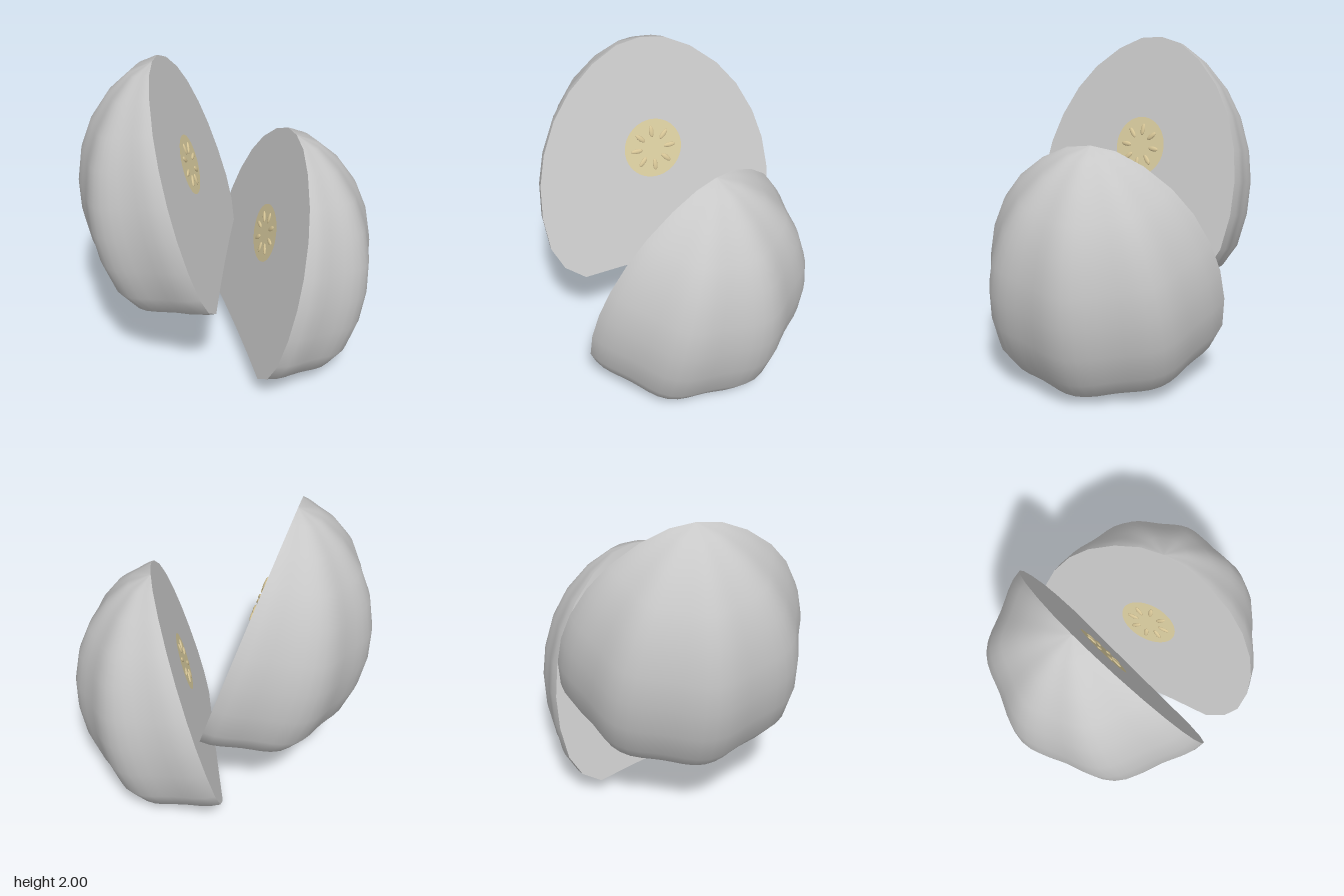
import * as THREE from 'three';

const flesh = new THREE.MeshStandardMaterial({ color: 0xc8c8c8 });
flesh.name = 'pale grey';
const core = new THREE.MeshStandardMaterial({ color: 0xd8cb9e });
core.name = 'cream core';
const seedTan = new THREE.MeshStandardMaterial({ color: 0xd6c596 });
seedTan.name = 'seed tan';

// Radius and height of the fruit along a rib, from the dimpled base to the tip
const PROFILE = [
  [0, 0], [0.28, -0.004], [0.534, -0.015], [0.655, 0.08], [0.722, 0.222], [0.742, 0.427],
  [0.725, 0.63], [0.676, 0.814], [0.585, 1.006], [0.468, 1.16], [0.308, 1.295], [0.148, 1.378], [0, 1.4],
].map(([r, y]) => new THREE.Vector2(r, y));

const CORE_HEIGHT = 0.715;
const RIBS = 8;
const RIB_DEPTH = 0.028;

function mesh(name, geometry, material) {
  const m = new THREE.Mesh(geometry, material);
  m.name = name;
  return m;
}

// Half lathe whose radius swells at each rib
function skinGeometry() {
  const g = new THREE.LatheGeometry(PROFILE, 32, 0, Math.PI);
  const p = g.attributes.position;
  for (let i = 0; i < p.count; i++) {
    const angle = Math.atan2(p.getX(i), p.getZ(i));
    const k = 1 - RIB_DEPTH * (1 - Math.cos(RIBS * angle));
    p.setX(i, p.getX(i) * k);
    p.setZ(i, p.getZ(i) * k);
  }
  g.computeVertexNormals();
  return g;
}

// One half: skin towards +x, cut face towards -x
function makeHalf() {
  const half = new THREE.Group();
  half.add(mesh('skin', skinGeometry(), flesh));

  // Flat cut through the middle
  const outline = [...PROFILE];
  for (let i = PROFILE.length - 2; i > 0; i--) {
    outline.push(new THREE.Vector2(-PROFILE[i].x, PROFILE[i].y));
  }
  const cut = new THREE.ShapeGeometry(new THREE.Shape(outline));
  cut.rotateY(-Math.PI / 2);
  half.add(mesh('cutFace', cut, flesh));

  // Round core with a ring of seeds
  const disc = new THREE.CircleGeometry(0.182, 40);
  disc.rotateY(-Math.PI / 2);
  const heart = mesh('core', disc, core);
  heart.position.set(-0.004, CORE_HEIGHT, 0);
  half.add(heart);

  const seeds = new THREE.Group();
  seeds.name = 'seeds';
  seeds.position.set(-0.006, CORE_HEIGHT, 0);
  const seedShape = new THREE.SphereGeometry(1, 12, 8);
  seedShape.scale(0.009, 0.037, 0.015);
  for (let i = 0; i < 8; i++) {
    const a = (i / 8) * Math.PI * 2;
    const seed = mesh('seed', seedShape, seedTan);
    seed.position.set(0, Math.cos(a) * 0.105, Math.sin(a) * 0.105);
    seed.rotation.x = a;
    seeds.add(seed);
  }
  half.add(seeds);
  return half;
}

export function createModel() {
  const model = new THREE.Group();
  model.name = 'halvedFruit';

  // Lower half, leaning out to the left
  const leftHalf = makeHalf();
  leftHalf.name = 'leftHalf';
  leftHalf.position.set(0.035, 0.15, 0.035);
  leftHalf.rotation.set(0, 0.18, -0.27);
  model.add(leftHalf);

  // Raised half, turned round to face the other
  const turned = makeHalf();
  turned.rotation.y = Math.PI;
  const rightHalf = new THREE.Group();
  rightHalf.name = 'rightHalf';
  rightHalf.add(turned);
  rightHalf.position.set(-0.033, 0.66, 0.035);
  rightHalf.rotation.set(0, -0.18, 0.3);
  model.add(rightHalf);

  return model;
}
